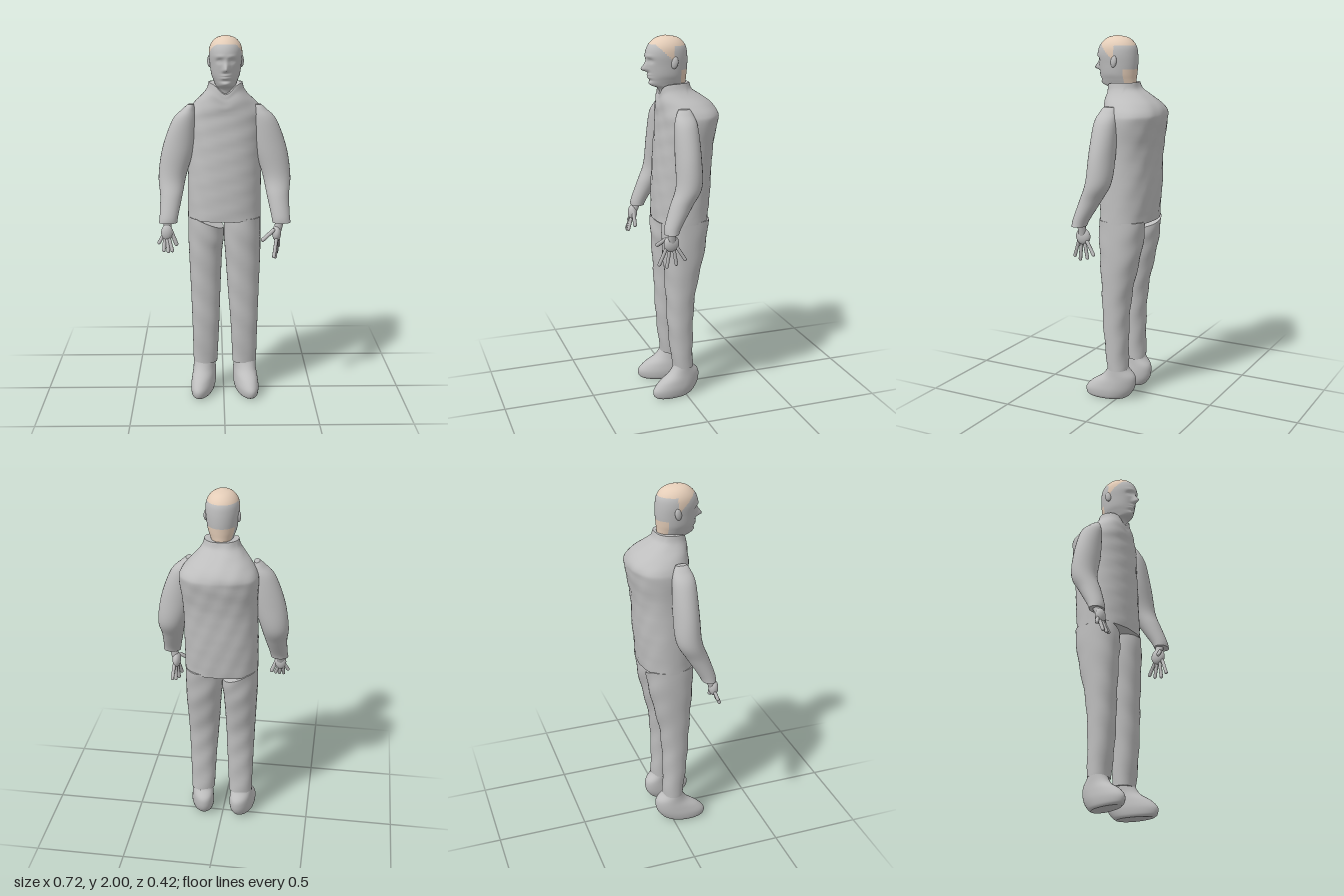
import * as THREE from 'three';

const cubic = (a, b, c, d, t) =>
  b + 0.5 * t * (c - a + t * (2 * a - 5 * b + 4 * c - d + t * (3 * (b - c) + d - a)));
const bump = (d, w) => Math.exp(-((d / w) ** 2));

// Lofts horizontal rings, listed upwards as [x, y, z, halfWidth, frontDepth, backDepth].
function loft(rings, { seg = 36, steps = 6, power = 1, deform = () => {}, pick = () => 0 } = {}) {
  const rows = [];
  const at = i => rings[Math.max(0, Math.min(rings.length - 1, i))];
  for (let i = 0; i < rings.length - 1; i++)
    for (let k = 0; k < steps; k++)
      rows.push(at(i).map((_, n) => cubic(at(i - 1)[n], at(i)[n], at(i + 1)[n], at(i + 2)[n], k / steps)));
  rows.push(at(rings.length - 1));

  const points = [];
  const round = v => Math.sign(v) * Math.abs(v) ** power;
  const addRing = ([x, y, z, rx, rf, rb]) => {
    for (let j = 0; j < seg; j++) {
      const t = (j / seg) * Math.PI * 2, c = round(Math.cos(t));
      const p = new THREE.Vector3(x + rx * round(Math.sin(t)), y, z + c * (c > 0 ? rf : rb));
      deform(p);
      points.push(p);
    }
  };
  rows.forEach(addRing);
  const faces = [[], []];
  const tri = (a, b, c) => {
    const mid = points[a].clone().add(points[b]).add(points[c]).divideScalar(3);
    faces[pick(mid)].push(a, b, c);
  };
  for (let i = 0; i < rows.length - 1; i++)
    for (let j = 0; j < seg; j++) {
      const a = i * seg + j, b = i * seg + ((j + 1) % seg);
      tri(a, b, b + seg);
      tri(a, b + seg, a + seg);
    }
  // End caps have their own corners so their rims stay sharp
  [rows[0], rows[rows.length - 1]].forEach((row, top) => {
    const start = points.length;
    addRing(row);
    const centre = new THREE.Vector3();
    for (let j = 0; j < seg; j++) centre.addScaledVector(points[start + j], 1 / seg);
    points.push(centre);
    for (let j = 0; j < seg; j++) {
      const a = start + j, b = start + ((j + 1) % seg);
      top ? tri(start + seg, a, b) : tri(start + seg, b, a);
    }
  });
  const geo = new THREE.BufferGeometry().setFromPoints(points);
  geo.setIndex([...faces[0], ...faces[1]]);
  geo.addGroup(0, faces[0].length, 0);
  if (faces[1].length) geo.addGroup(faces[0].length, faces[1].length, 1);
  geo.computeVertexNormals();
  return geo;
}

export function createModel() {
  const model = new THREE.Group();
  const grey = new THREE.MeshStandardMaterial({ color: 0xbebebe });
  grey.name = 'grey';
  const beige = new THREE.MeshStandardMaterial({ color: 0xe4cdb8 });
  beige.name = 'beigeHair';
  const add = (name, geo, parent = model, mat = grey) => {
    const mesh = new THREE.Mesh(geo, mat);
    mesh.name = name;
    parent.add(mesh);
    return mesh;
  };

  // Jacket with soft wrinkles and a neckline that dips at the front
  add('jacket', loft([
    [0.005, 1.01, -0.01, 0.2, 0.15, 0.145],
    [0.005, 1.2, -0.02, 0.2, 0.155, 0.15],
    [0.01, 1.4, -0.03, 0.198, 0.155, 0.15],
    [0.015, 1.55, -0.05, 0.208, 0.165, 0.153],
    [0.015, 1.6, -0.05, 0.198, 0.165, 0.155],
    [0.012, 1.645, -0.03, 0.165, 0.145, 0.145],
    [0.01, 1.685, 0, 0.125, 0.115, 0.125],
    [0.01, 1.72, 0.02, 0.1, 0.088, 0.09],
    [0.01, 1.755, 0.025, 0.09, 0.08, 0.08],
  ], {
    seg: 56, power: 0.9,
    deform: p => {
      const w = 0.003 * Math.sin(p.y * 47 + p.x * 23) * Math.sin(p.x * 41 - p.y * 19 + 1);
      p.z += w * Math.sign(p.z + 0.02);
      if (p.y > 1.6 && p.z > 0.03) p.y -= 0.4 * (p.y - 1.6) * bump(p.x - 0.01, 0.05);
    },
  }));

  // Head: rounded skull, shaped face, hair as faces of the same surface
  const hx = 0.01;
  add('head', loft([
    [hx, 1.66, 0.03, 0.055, 0.06, 0.06],
    [hx, 1.72, 0.035, 0.055, 0.07, 0.075],
    [hx, 1.742, 0.04, 0.056, 0.108, 0.082],
    [hx, 1.77, 0.045, 0.066, 0.113, 0.088],
    [hx, 1.8, 0.05, 0.076, 0.112, 0.096],
    [hx, 1.85, 0.05, 0.083, 0.12, 0.1],
    [hx, 1.9, 0.055, 0.088, 0.122, 0.104],
    [hx, 1.94, 0.058, 0.084, 0.109, 0.1],
    [hx, 1.97, 0.06, 0.068, 0.084, 0.082],
    [hx, 1.99, 0.064, 0.042, 0.05, 0.055],
    [hx, 2.0, 0.068, 0.004, 0.004, 0.004],
  ], {
    seg: 72, steps: 8,
    deform: p => {
      if (p.z < 0.09) return;
      const x = Math.abs(p.x - hx), y = p.y;
      p.z += 0.034 * bump(x, 0.013) * bump(y - 1.828, y > 1.828 ? 0.03 : 0.011) // nose
        + 0.006 * bump(x, 0.018) * bump(y - 1.823, 0.01) // nostrils
        - 0.011 * bump(x - 0.033, 0.017) * bump(y - 1.872, 0.012) // eye sockets
        + 0.004 * bump(x - 0.033, 0.009) * bump(y - 1.87, 0.006) // eyes
        + 0.004 * bump(x - 0.03, 0.025) * bump(y - 1.895, 0.009) // brows
        + 0.009 * bump(x, 0.022) * (bump(y - 1.798, 0.006) + bump(y - 1.784, 0.006)) // lips
        - 0.004 * bump(x, 0.025) * bump(y - 1.768, 0.006)
        + 0.006 * bump(x, 0.022) * bump(y - 1.752, 0.01); // chin
    },
    pick: p => {
      if (p.z < 0 && p.y < 1.825) return 1;
      const line = p.z < 0.045 ? 1.948 : 1.955 - 0.95 * Math.max(0, 0.138 - p.z);
      return p.y > line ? 1 : 0;
    },
  }), model, [grey, beige]);

  for (const s of [1, -1]) {
    const side = s > 0 ? 'left' : 'right';
    const ear = add(side + 'Ear', new THREE.SphereGeometry(1, 16, 12));
    ear.scale.set(0.012, 0.032, 0.019);
    ear.position.set(hx + s * 0.084, 1.865, 0.045);
    ear.rotation.set(-0.15, s * -0.3, 0);

    // Sleeve
    add(side + 'Sleeve', loft([
      [0.305, 1.012, 0.14, 0.049, 0.037, 0.04],
      [0.3, 1.05, 0.127, 0.05, 0.045, 0.045],
      [0.288, 1.15, 0.08, 0.06, 0.058, 0.06],
      [0.282, 1.25, 0.036, 0.075, 0.066, 0.07],
      [0.25, 1.4, 0.028, 0.085, 0.067, 0.068],
      [0.217, 1.55, 0.028, 0.063, 0.06, 0.062],
      [0.192, 1.61, 0.026, 0.032, 0.044, 0.044],
      [0.18, 1.635, 0.025, 0.015, 0.03, 0.03],
    ].map(([x, ...r]) => [0.005 + s * x, ...r]), { seg: 28 }));

    // Shoe: toes turned outwards
    add(side + 'Shoe', loft([
      [0, 0, 0.05, 0.05, 0.12, 0.085],
      [0, 0.015, 0.045, 0.06, 0.143, 0.1],
      [0, 0.05, 0.03, 0.066, 0.16, 0.11],
      [0, 0.09, 0.01, 0.065, 0.145, 0.1],
      [0, 0.13, 0, 0.062, 0.095, 0.085],
      [0, 0.17, 0.005, 0.06, 0.06, 0.055],
      [0, 0.2, 0.008, 0.058, 0.05, 0.05],
    ], {
      deform: p => { p.x += (s > 0 ? 0.12 : -0.108) + s * 0.17 * p.z; },
    }));
  }

  // Trouser legs
  const legs = {
    left: [[0.118, 0.17, 0.067], [0.115, 0.4, 0.075], [0.11, 0.6, 0.086],
      [0.107, 0.8, 0.097], [0.103, 0.92, 0.102], [0.105, 1.02, 0.099]],
    right: [[-0.103, 0.17, 0.067], [-0.1, 0.4, 0.075], [-0.1, 0.6, 0.082],
      [-0.1, 0.8, 0.091], [-0.097, 0.92, 0.098], [-0.097, 1.02, 0.097]],
  };
  const legDepths = [[0.065, -0.047], [0.09, -0.047], [0.1, -0.063], [0.112, -0.108], [0.12, -0.13], [0.12, -0.14]];
  for (const side of ['left', 'right'])
    add(side + 'Leg', loft(legs[side].map(([x, y, rx], i) => {
      const [f, b] = legDepths[i], z = (f + b) / 2;
      return [x, y, z, rx, f - z, z - b];
    }), {
      power: 0.92,
      deform: p => {
        p.z += 0.0025 * Math.sin(p.y * 38 + p.x * 30);
        // the right leg's top slopes down towards the crotch
        if (side === 'right' && p.y > 0.85) p.y -= (p.y - 0.85) * 0.38 * Math.max(0, (p.x + 0.15) / 0.15);
      },
    }));

  // Hands: palm, wrist and five digits given by knuckle and tip
  const hands = {
    left: {
      palm: [0.285, 0.95, 0.13], wrist: [0.305, 1.03, 0.132],
      digits: [[0.265, 0.97, 0.155, 0.208, 0.925, 0.182], [0.282, 0.92, 0.16, 0.268, 0.835, 0.192],
        [0.285, 0.915, 0.14, 0.278, 0.822, 0.153], [0.29, 0.915, 0.118, 0.288, 0.835, 0.104],
        [0.295, 0.925, 0.1, 0.3, 0.86, 0.06]],
    },
    right: {
      palm: [-0.305, 0.962, 0.165], wrist: [-0.303, 1.03, 0.135],
      digits: [[-0.285, 0.975, 0.165, -0.256, 0.9, 0.165], [-0.295, 0.935, 0.175, -0.277, 0.872, 0.198],
        [-0.305, 0.93, 0.175, -0.298, 0.868, 0.2], [-0.318, 0.93, 0.172, -0.322, 0.872, 0.195],
        [-0.328, 0.945, 0.165, -0.348, 0.91, 0.175]],
    },
  };
  const up = new THREE.Vector3(0, 1, 0);
  for (const side of ['left', 'right']) {
    const hand = new THREE.Group();
    hand.name = side + 'Hand';
    model.add(hand);
    const rod = (name, a, b, r) => {
      const dir = b.clone().sub(a);
      const mesh = add(name, new THREE.CapsuleGeometry(r, dir.length(), 6, 10), hand);
      mesh.position.copy(a).lerp(b, 0.5);
      mesh.quaternion.setFromUnitVectors(up, dir.normalize());
    };
    const { palm, wrist, digits } = hands[side];
    const p = new THREE.Vector3(...palm);
    rod('wrist', new THREE.Vector3(...wrist), p, 0.022);
    const palmMesh = add('palm', new THREE.SphereGeometry(1, 20, 14), hand);
    palmMesh.position.copy(p);
    palmMesh.scale.set(side === 'left' ? 0.024 : 0.032, 0.045, side === 'left' ? 0.042 : 0.026);
    digits.forEach((d, i) => rod(i ? 'finger' : 'thumb',
      new THREE.Vector3(d[0], d[1], d[2]), new THREE.Vector3(d[3], d[4], d[5]), i ? 0.0095 : 0.011));
  }
  return model;
}
